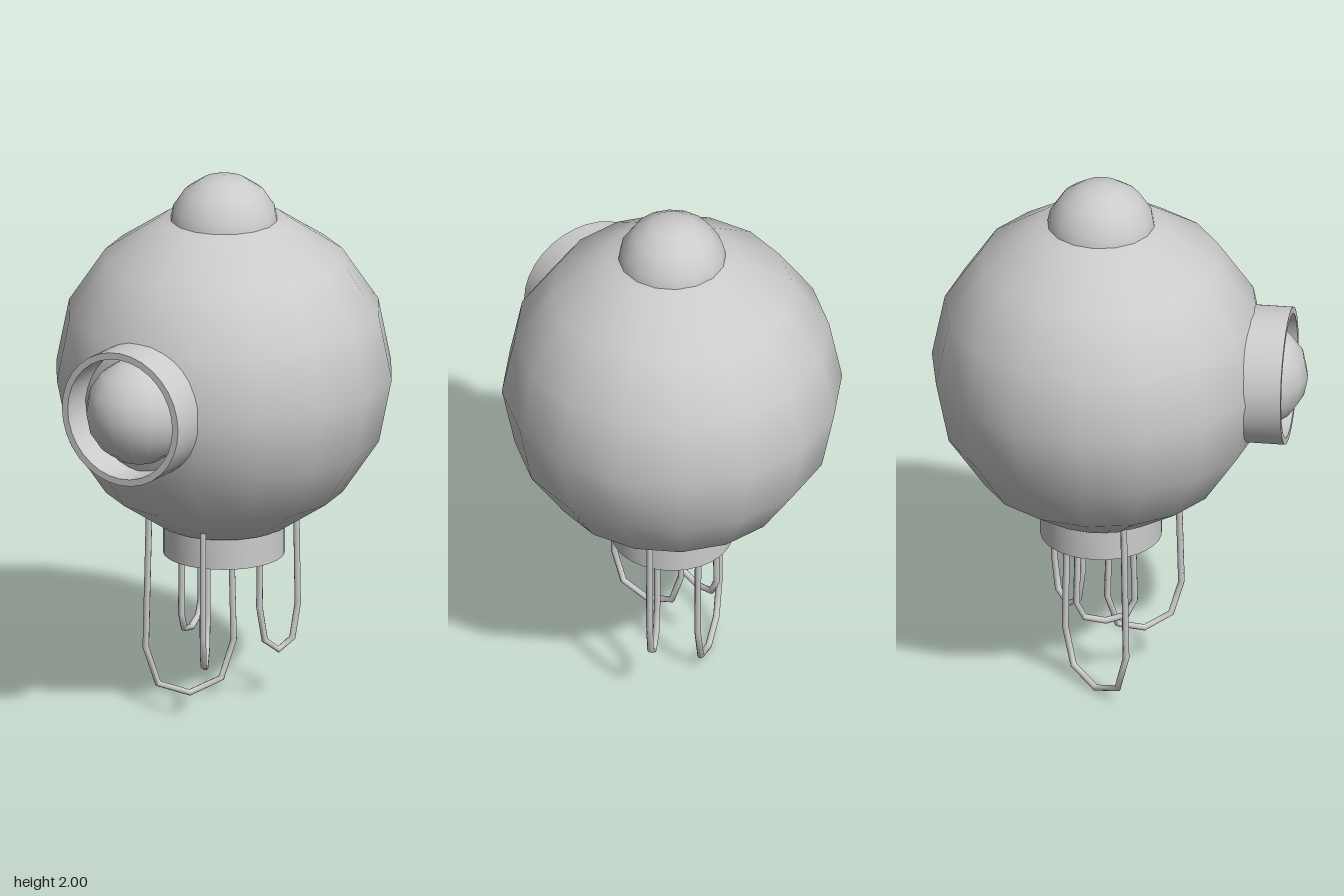
import * as THREE from 'three';
import { toCreasedNormals } from 'three/addons/utils/BufferGeometryUtils.js';

const CY = 1.26, CZ = -0.07; // centre of the round body

// Curve that visits the given points exactly, so a tube keeps mitred corners
class Polyline extends THREE.Curve {
  constructor(points) {
    super();
    this.points = points;
  }
  getPointAt(t, target = new THREE.Vector3()) {
    return target.copy(this.points[Math.round(t * (this.points.length - 1))]);
  }
  getTangentAt(t, target = new THREE.Vector3()) {
    const p = this.points, n = p.length - 1, i = Math.round(t * n);
    return target.subVectors(p[Math.min(i + 1, n)], p[Math.max(i - 1, 0)]).normalize();
  }
}

export function createModel() {
  const model = new THREE.Group();
  const grey = new THREE.MeshStandardMaterial({ color: 0xcccccc });

  const add = (name, geometry, x = 0, y = 0, z = 0) => {
    const mesh = new THREE.Mesh(geometry, grey);
    mesh.name = name;
    mesh.position.set(x, y, z);
    model.add(mesh);
    return mesh;
  };
  const ball = (name, r, y, z) => add(name, new THREE.SphereGeometry(r, 16, 8), 0, y, z);

  // Open ring with a wall, running along y from 0 to height
  const ringGeometry = (outer, inner, height) => {
    const profile = [[outer, 0], [outer, height], [inner, height], [inner, 0], [outer, 0]]
      .map(([r, y]) => new THREE.Vector2(r, y));
    return toCreasedNormals(new THREE.LatheGeometry(profile, 32), 0.6);
  };

  // Body, top dome and front eye
  ball('body', 0.615, CY, CZ);
  ball('topDome', 0.202, 1.798, CZ);
  ball('eye', 0.195, CY, 0.488);

  // Eye socket and mouth collar
  add('eyeSocket', ringGeometry(0.25, 0.225, 0.2), 0, CY, 0.415).rotation.x = Math.PI / 2;
  add('bottomCollar', ringGeometry(0.22, 0.195, 0.145), 0, 0.575, CZ);

  // Hanging wire loops: two leg positions (x, z), bottom and shoulder heights
  const loops = [
    { a: [-0.255, 0.055], b: [-0.04, -0.195], bottom: 0.012, shoulder: 0.2 },
    { a: [-0.052, -0.04], b: [0.092, 0.21], bottom: 0.18, shoulder: 0.34 },
    { a: [0.1, -0.15], b: [0.19, -0.265], bottom: 0.19, shoulder: 0.36 },
    { a: [-0.145, -0.14], b: [-0.095, 0.065], bottom: 0.275, shoulder: 0.355 },
  ];
  loops.forEach(({ a, b, bottom, shoulder }, i) => {
    const dip = bottom + (shoulder - bottom) * 0.24;
    const points = [
      [-0.92, 0.74], [-1, shoulder], [-0.72, dip], [0, bottom],
      [0.72, dip], [1, shoulder], [0.92, 0.74],
    ].map(([u, y]) => new THREE.Vector3(
      THREE.MathUtils.lerp(a[0], b[0], (u + 1) / 2), y,
      THREE.MathUtils.lerp(a[1], b[1], (u + 1) / 2)));
    add(`wireLoop${i + 1}`, new THREE.TubeGeometry(new Polyline(points), points.length - 1, 0.012, 8));
  });

  return model;
}
